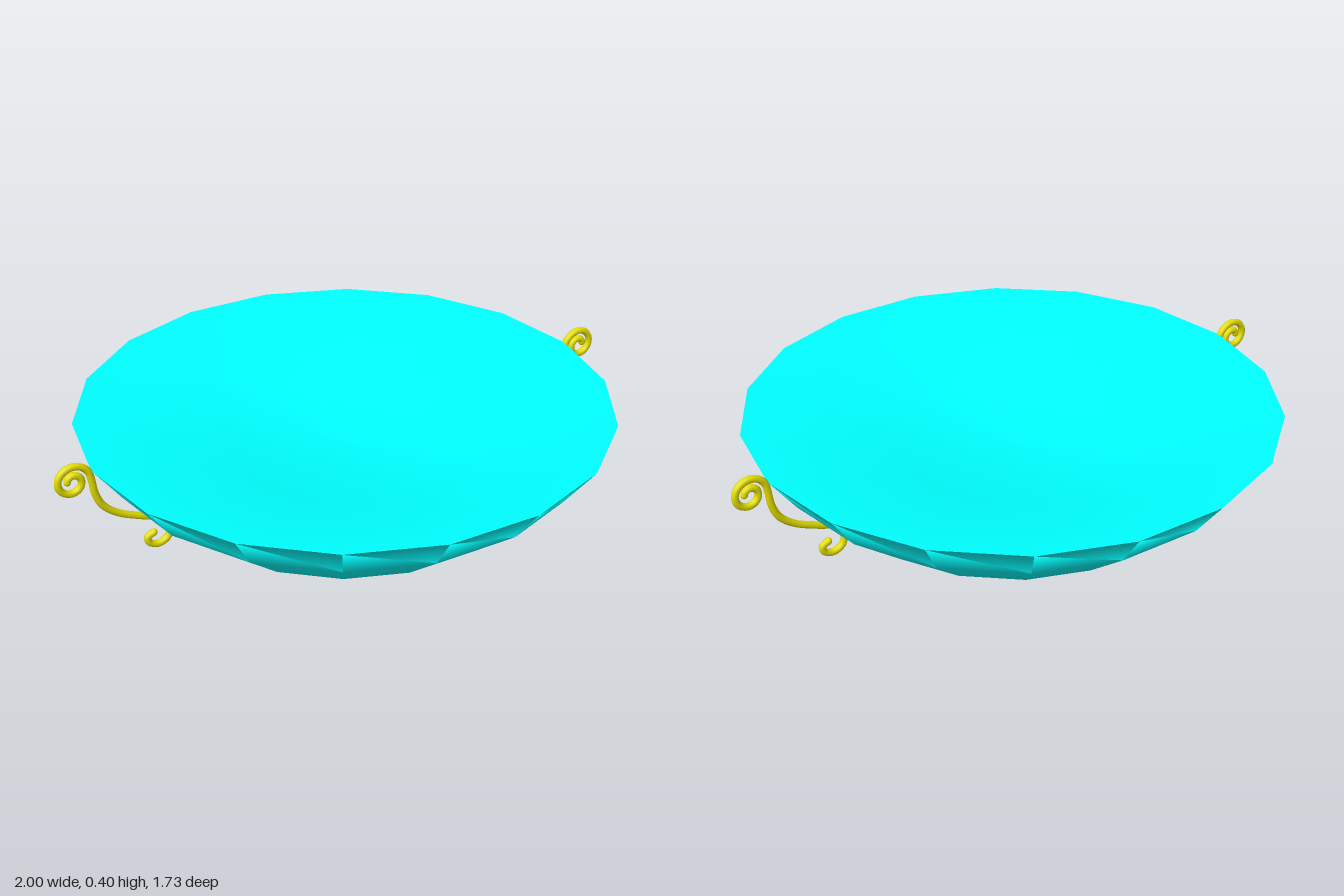
import * as THREE from 'three';

const SIDES = 18;

// Centre line of a scrolled handle: upper spiral, S-shaped stem, lower curl
function handlePath(side) {
  const points = [];
  const steps = 24;
  for (let i = 0; i <= steps; i++) {
    const t = i / steps;
    const a = Math.PI * (1 - 2.9 * (1 - t));
    const r = 0.016 + 0.044 * t;
    points.push([0.943 + r * Math.cos(a), 0.335 + r * Math.sin(a)]);
  }
  points.push(
    [0.874, 0.275], [0.853, 0.227], [0.805, 0.184], [0.725, 0.147], [0.66, 0.12],
    [0.638, 0.083], [0.648, 0.045], [0.682, 0.03], [0.71, 0.042], [0.716, 0.064], [0.694, 0.076]
  );
  return new THREE.CatmullRomCurve3(points.map(([x, y]) => new THREE.Vector3(side * x, y, 0)));
}

export function createModel() {
  const model = new THREE.Group();
  model.name = 'dish';
  const cyan = new THREE.MeshStandardMaterial({ color: 0x00ffff, side: THREE.DoubleSide });
  const yellow = new THREE.MeshStandardMaterial({ color: 0xe6e000 });

  // Solid turned body with one corner on the x axis
  const profile = [
    [0, 0], [0.233, 0], [0.185, 0.035], [0.168, 0.07],   // flat base and flared foot
    [0.59, 0.07], [0.79, 0.235], [0.88, 0.357],          // flat bottom and outer wall
    [0.38, 0.217], [0, 0.207],                           // shallow hollow on top
  ].map(([r, y]) => new THREE.Vector2(r, y));
  const bowl = new THREE.Mesh(new THREE.LatheGeometry(profile, SIDES, Math.PI / 2), cyan);
  bowl.name = 'bowl';
  model.add(bowl);

  // Scrolled handles with rounded ends
  for (const side of [1, -1]) {
    const handle = new THREE.Group();
    handle.name = side > 0 ? 'leftHandle' : 'rightHandle';
    const path = handlePath(side);
    const rod = new THREE.Mesh(new THREE.TubeGeometry(path, 160, 0.012, 8), yellow);
    rod.name = 'scroll';
    handle.add(rod);
    for (const t of [0, 1]) {
      const tip = new THREE.Mesh(new THREE.SphereGeometry(0.012, 8, 6), yellow);
      tip.position.copy(path.getPointAt(t));
      tip.name = 'scrollTip';
      handle.add(tip);
    }
    model.add(handle);
  }
  return model;
}
